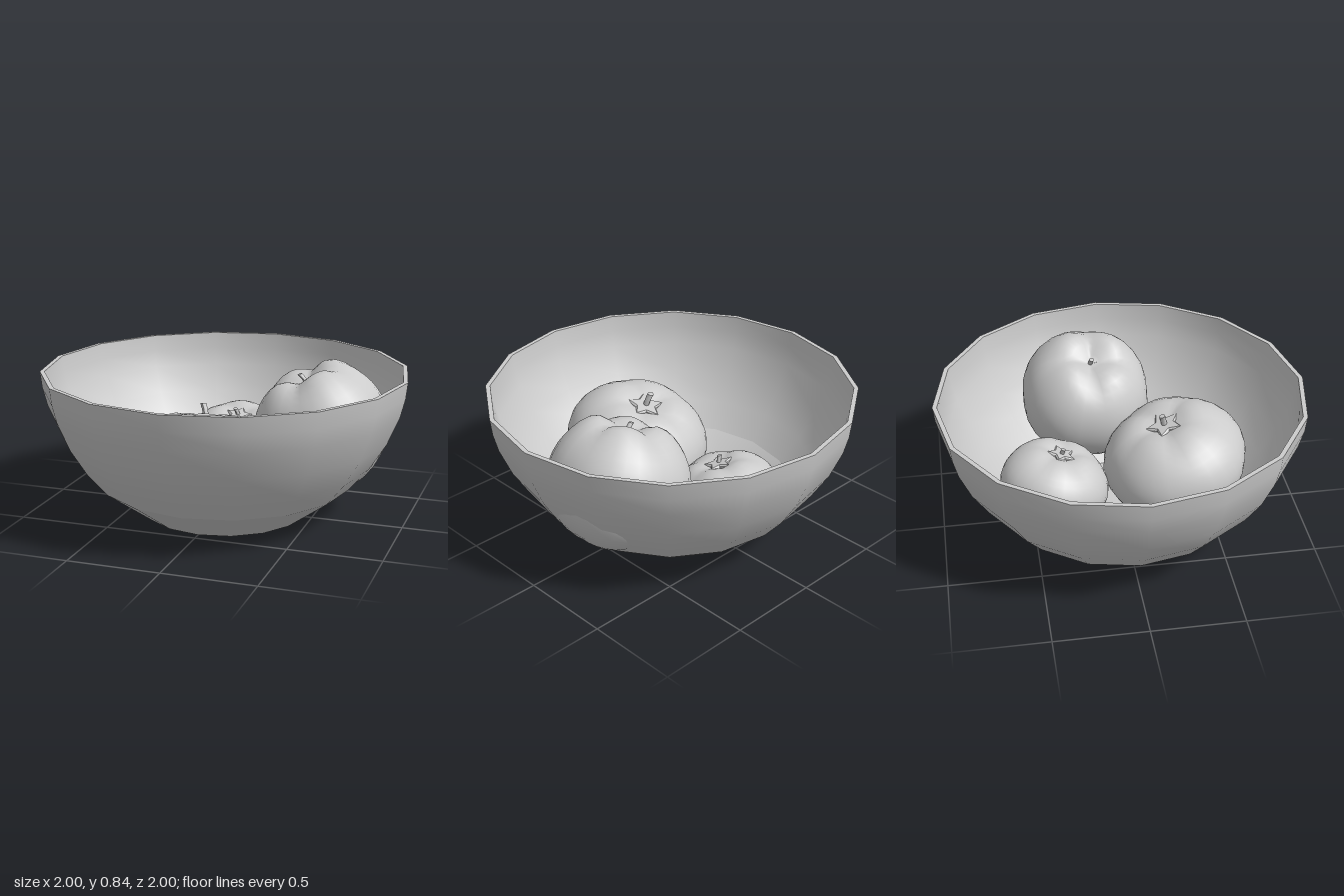
import * as THREE from 'three';
import { mergeVertices, mergeGeometries } from 'three/addons/utils/BufferGeometryUtils.js';

const material = new THREE.MeshStandardMaterial({ color: 0xcccccc });

function addMesh(parent, name, geometry) {
  const mesh = new THREE.Mesh(geometry, material);
  mesh.name = name;
  parent.add(mesh);
  return mesh;
}

// Sixteen-sided bowl: each profile run is smooth, with hard edges between runs
function bowlGeometry() {
  const runs = [
    [[0, 0], [0.45, 0]],                                                        // underside
    [[0.45, 0], [0.7, 0.18]],                                                   // foot
    [[0.7, 0.18], [0.81, 0.31], [0.9, 0.455], [0.965, 0.61], [0.99, 0.71], [1, 0.8]], // outer wall
    [[1, 0.8], [0.975, 0.8]],                                                   // rim
    [[0.975, 0.8], [0.965, 0.71], [0.94, 0.61], [0.875, 0.46], [0.785, 0.32], [0.67, 0.19]], // inner wall
    [[0.67, 0.19], [0.44, 0.025]],                                              // inner foot
    [[0.44, 0.025], [0, 0.025]],                                                // floor
  ];
  return mergeGeometries(runs.map((run) =>
    new THREE.LatheGeometry(run.map(([x, y]) => new THREE.Vector2(x, y)), 16)));
}

// Squashed sphere with soft lobes, a sunken top and a slightly sunken bottom
function fruitGeometry({ radius, height, lobes, ridge, dimple, phase = 0 }) {
  const geometry = new THREE.SphereGeometry(1, 30, 22);
  const pos = geometry.attributes.position;
  for (let i = 0; i < pos.count; i++) {
    const x = pos.getX(i), y = pos.getY(i), z = pos.getZ(i);
    const s = Math.min(1, Math.hypot(x, z));
    const angle = Math.atan2(z, x) + phase;
    // rounded lobes meeting in narrow creases, uneven around the fruit
    const wave = Math.abs(Math.cos(angle * lobes / 2)) - 0.64 + 0.25 * Math.sin(angle + 1);
    const shoulder = Math.exp(-(((s - 0.5) / 0.28) ** 2)) * (y > 0 ? 1 : 0.25);
    const r = radius * (1 + ridge * 0.45 * wave * s);
    const sink = Math.exp(-((s / 0.3) ** 2)) * (y > 0 ? dimple : dimple * 0.3);
    pos.setXYZ(i, x * r, height * (y + Math.sign(y) * (ridge * wave * shoulder - sink)), z * r);
  }
  geometry.deleteAttribute('uv');
  geometry.deleteAttribute('normal');
  const smooth = mergeVertices(geometry, 1e-5);
  smooth.computeVertexNormals();
  return smooth;
}

// Five-pointed leaf star at the top of a fruit
function calyxGeometry(radius) {
  const shape = new THREE.Shape();
  for (let i = 0; i < 10; i++) {
    const a = i * Math.PI / 5 + 0.3, r = i % 2 ? radius * 0.5 : radius;
    shape[i ? 'lineTo' : 'moveTo'](r * Math.cos(a), r * Math.sin(a));
  }
  return new THREE.ExtrudeGeometry(shape, {
    depth: 0.008, bevelEnabled: true, bevelThickness: 0.008, bevelSize: 0.008, bevelSegments: 1,
  }).rotateX(-Math.PI / 2);
}

// Short, slightly bent stem with a closed end
function stemGeometry(length, radius) {
  const geometry = new THREE.CylinderGeometry(radius * 1.15, radius, length, 8, 4);
  geometry.translate(0, length / 2, 0);
  const pos = geometry.attributes.position;
  for (let i = 0; i < pos.count; i++) {
    pos.setX(i, pos.getX(i) - 0.02 * (pos.getY(i) / length) ** 2);
  }
  geometry.computeVertexNormals();
  return geometry;
}

export function createModel() {
  const model = new THREE.Group();
  model.name = 'fruitBowl';
  addMesh(model, 'bowl', bowlGeometry());

  const fruits = [
    { name: 'frontFruit', at: [-0.02, 0.345, 0.3], axis: [-0.03, 0.95, -0.25],
      radius: 0.4, height: 0.3, lobes: 5, ridge: 0.06, dimple: 0.24, star: 0.1, stem: 0.1 },
    { name: 'backFruit', at: [-0.045, 0.27, -0.375], axis: [0.08, 0.95, 0.24],
      radius: 0.3, height: 0.225, lobes: 5, ridge: 0.07, dimple: 0.26, star: 0.075, stem: 0.065, phase: 0.5 },
    { name: 'leaningFruit', at: [0.505, 0.48, -0.13], axis: [-0.3, 0.94, 0.08],
      radius: 0.37, height: 0.355, lobes: 4, ridge: 0.13, dimple: 0.26, stem: 0.06, phase: 0.75 },
  ];
  for (const f of fruits) {
    const group = new THREE.Group();
    group.name = f.name;
    group.position.set(...f.at);
    group.quaternion.setFromUnitVectors(new THREE.Vector3(0, 1, 0), new THREE.Vector3(...f.axis).normalize());
    addMesh(group, 'body', fruitGeometry(f));
    const top = f.height * (1 - f.dimple);
    if (f.star) addMesh(group, 'calyx', calyxGeometry(f.star)).position.y = top + 0.012;
    addMesh(group, 'stem', stemGeometry(f.stem, f.star ? f.star * 0.15 : 0.012)).position.y = top - 0.005;
    model.add(group);
  }
  return model;
}
